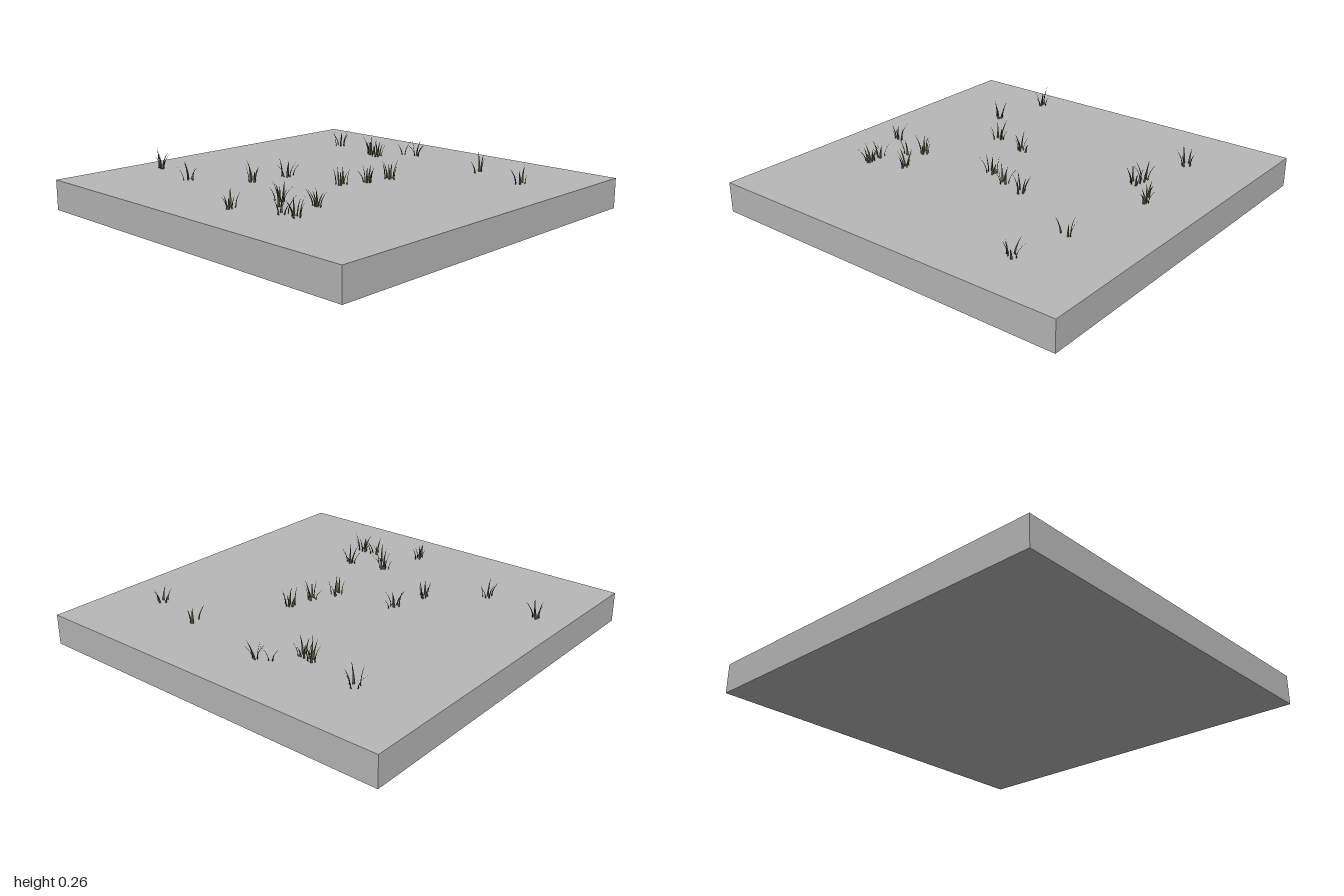
import * as THREE from 'three';

const TOP = 0.157;

// Small repeatable random source
function seeded(seed) {
  let s = seed;
  return () => {
    s = (s * 16807) % 2147483647;
    return s / 2147483647;
  };
}

// Curved tapering blade: grows up, bends towards +z, ends in a point
function bladeGeometry(height, lean, width) {
  const geo = new THREE.PlaneGeometry(1, 1, 2, 4);
  const pos = geo.attributes.position;
  for (let i = 0; i < pos.count; i++) {
    const side = pos.getX(i) * 2;
    const t = pos.getY(i) + 0.5;
    const w = (width / 2) * (1 - t ** 1.6);
    const fold = (1 - Math.abs(side)) * w * 0.5; // crease along the midrib
    pos.setXYZ(i, side * w, t * height, lean * t * t + fold);
  }
  geo.computeVertexNormals();
  return geo;
}

// Tufts: x, z, number of blades, spread of the roots in x and in z
const TUFTS = [
  [-0.59, -0.64, 5, 0.03, 0.04], [-0.29, -0.57, 6, 0.025, 0.03],
  [-0.23, -0.56, 6, 0.025, 0.035], [-0.15, -0.69, 2, 0.015, 0.015],
  [-0.08, -0.72, 5, 0.03, 0.015], [0.42, -0.63, 4, 0.015, 0.04],
  [0.72, -0.56, 5, 0.035, 0.035], [0.19, -0.19, 6, 0.04, 0.03],
  [0.16, -0.05, 6, 0.03, 0.03], [0.1, 0.07, 6, 0.03, 0.04],
  [-0.22, 0.14, 6, 0.03, 0.04], [-0.27, 0.33, 6, 0.03, 0.04],
  [-0.83, 0.47, 6, 0.03, 0.02], [-0.52, 0.53, 5, 0.03, 0.03],
  [0.13, 0.51, 7, 0.03, 0.025], [0.19, 0.57, 2, 0.02, 0.02],
  [0.32, 0.46, 6, 0.025, 0.02], [0.31, 0.66, 4, 0.03, 0.03],
  [0.38, 0.65, 7, 0.03, 0.03], [0.07, 0.76, 6, 0.02, 0.035],
];

export function createModel() {
  const model = new THREE.Group();
  model.name = 'grassTile';
  const stone = new THREE.MeshStandardMaterial({ color: 0xb8b8b8 });
  stone.name = 'grey ground';
  const grass = new THREE.MeshStandardMaterial({ color: 0x4a4a30, side: THREE.DoubleSide });
  grass.name = 'dark olive grass';

  // Square ground slab
  const slab = new THREE.Mesh(new THREE.BoxGeometry(2, TOP, 2), stone);
  slab.name = 'groundSlab';
  slab.position.y = TOP / 2;
  model.add(slab);

  // Tufts with blades fanning outwards
  const rand = seeded(4127);
  for (const [x, z, count, spreadX, spreadZ] of TUFTS) {
    const tuft = new THREE.Group();
    tuft.name = 'grassTuft';
    tuft.position.set(x, TOP - 0.002, z);
    const turn = rand() * Math.PI * 2;
    for (let i = 0; i < count; i++) {
      const angle = turn + ((i + rand() * 0.6) / count) * Math.PI * 2;
      const reach = 0.3 + rand() * 0.7;
      const height = 0.06 + rand() * 0.045;
      const lean = 0.015 + rand() * 0.035;
      const blade = new THREE.Mesh(bladeGeometry(height, lean, 0.011), grass);
      blade.name = 'grassBlade';
      blade.position.set(Math.sin(angle) * spreadX * reach, 0, Math.cos(angle) * spreadZ * reach);
      blade.rotation.y = angle + (rand() - 0.5) * 0.8;
      tuft.add(blade);
    }
    model.add(tuft);
  }
  return model;
}
